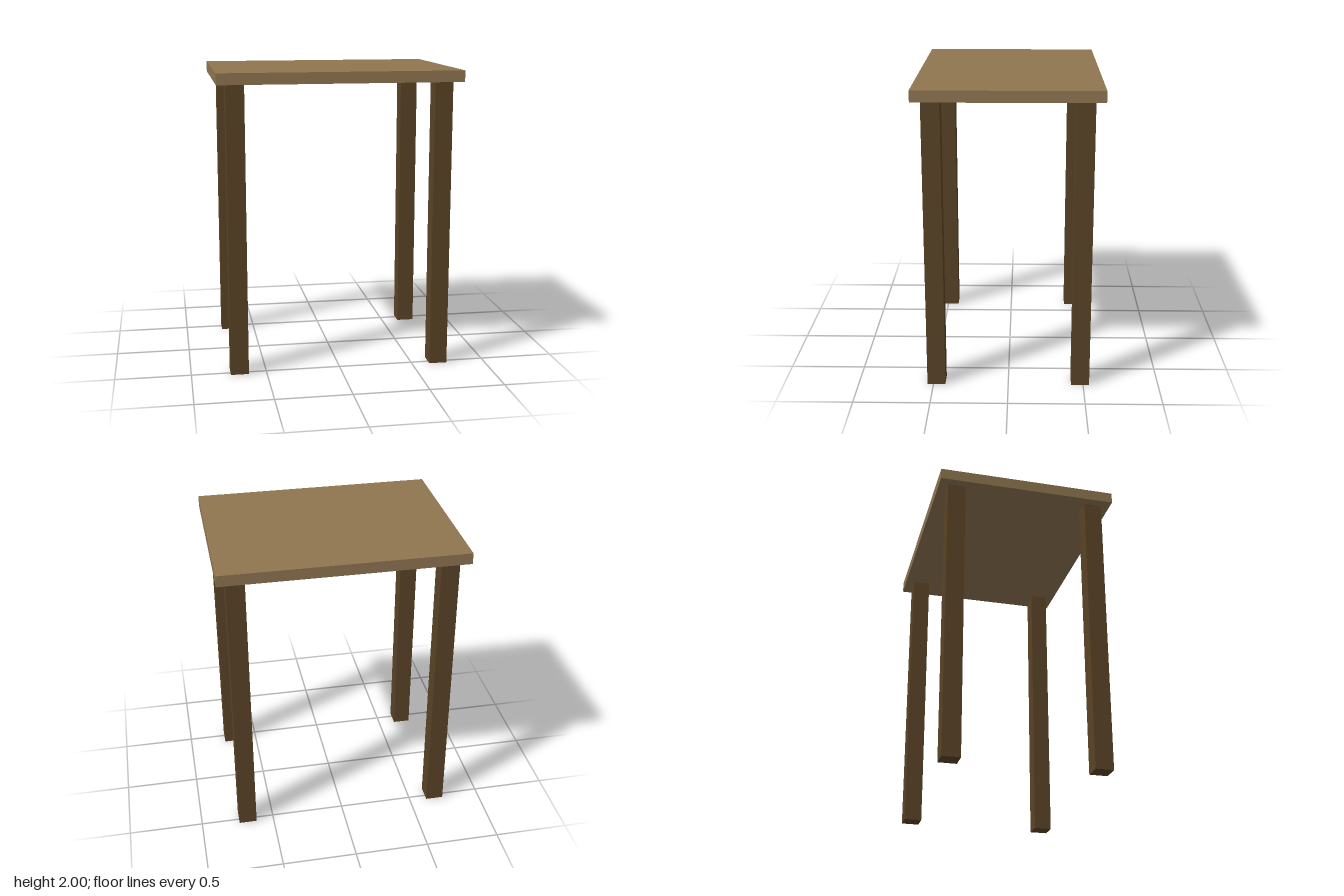
import * as THREE from 'three';

const HEIGHT = 2, TOP_THICK = 0.074, LEG = 0.12;

export function createModel() {
  const table = new THREE.Group();
  table.name = 'table';

  const topMaterial = new THREE.MeshStandardMaterial({ color: 0x8f7550 });
  const legMaterial = new THREE.MeshStandardMaterial({ color: 0x5a4326 });

  // Table top slab
  const top = new THREE.Mesh(new THREE.BoxGeometry(1.6, TOP_THICK, 1.2), topMaterial);
  top.name = 'tableTop';
  top.position.y = HEIGHT - TOP_THICK / 2;
  table.add(top);

  // Four square legs, inset from the corners
  const legHeight = HEIGHT - TOP_THICK;
  const legGeometry = new THREE.BoxGeometry(LEG, legHeight, LEG);
  for (const [zName, z] of [['front', 0.48], ['back', -0.48]]) {
    for (const [xName, x] of [['Left', 0.68], ['Right', -0.68]]) {
      const leg = new THREE.Mesh(legGeometry, legMaterial);
      leg.name = `${zName}${xName}Leg`;
      leg.position.set(x, legHeight / 2, z);
      table.add(leg);
    }
  }
  return table;
}
